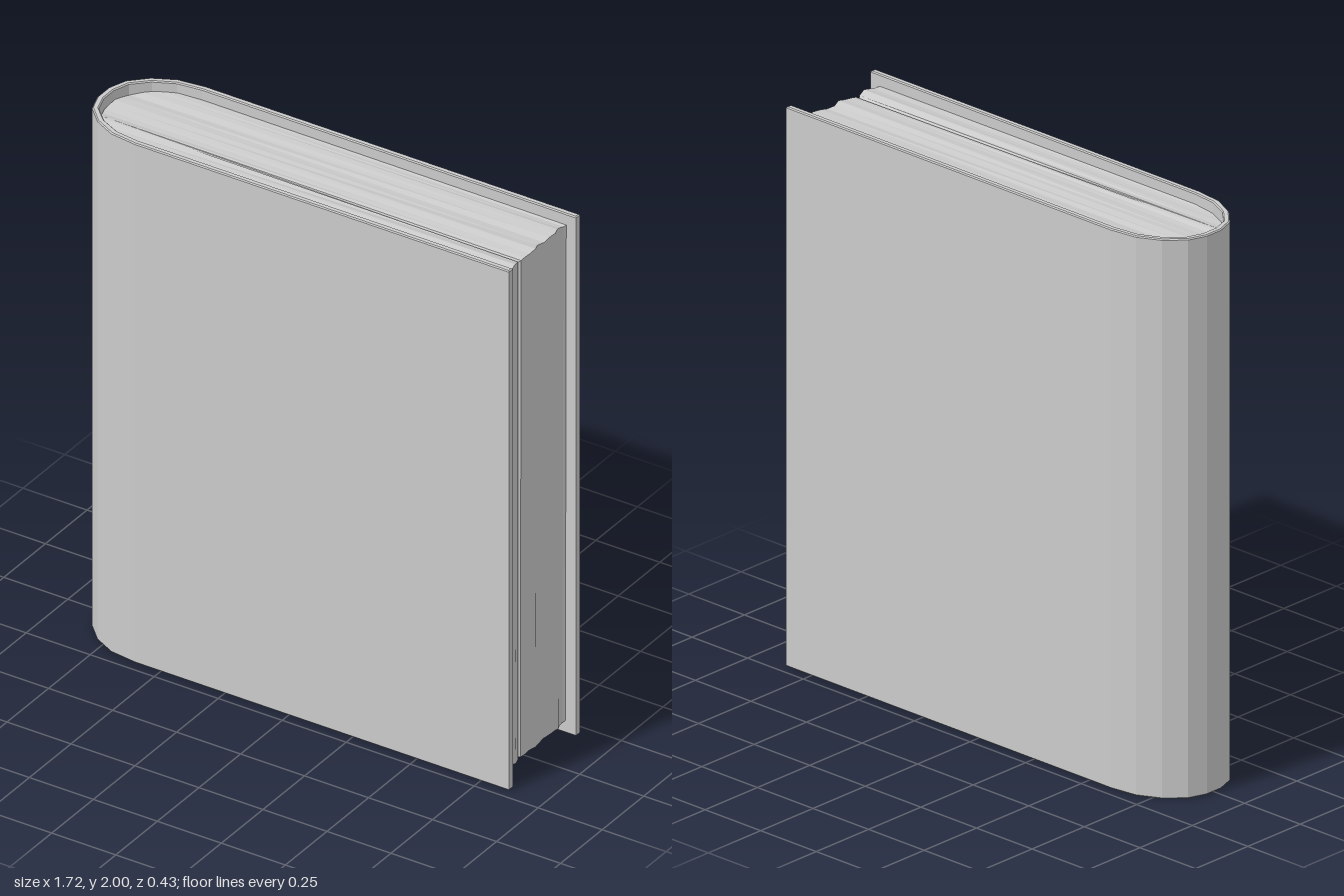
import * as THREE from 'three';

const material = () => new THREE.MeshStandardMaterial({ color: 0xcccccc, flatShading: true });

// Half of the spine curve [x, z], from the board towards the middle of the spine
const outer = [[-0.6, 0.213], [-0.7, 0.2], [-0.78, 0.16], [-0.84, 0.1], [-0.863, 0.034]];
const inner = [[-0.6, 0.19], [-0.69, 0.179], [-0.765, 0.143], [-0.82, 0.09], [-0.84, 0.03]];
const mirrored = (half) => [...half, ...half.map(([x, z]) => [x, -z]).reverse()];

// Boards and rounded spine as one U-shaped shell
function makeCover() {
  const bevel = 0.004, front = 0.862;
  const points = [
    [front, 0.213], ...mirrored(outer), [front, -0.213],
    [front, -0.19], ...mirrored(inner).reverse(), [front, 0.19],
  ].map(([x, z]) => new THREE.Vector2(x, z));
  const geometry = new THREE.ExtrudeGeometry(new THREE.Shape(points), {
    depth: 2 - 2 * bevel, bevelEnabled: true, bevelSegments: 1,
    bevelSize: bevel, bevelThickness: bevel, bevelOffset: -bevel,
  });
  geometry.rotateX(-Math.PI / 2).translate(0, bevel, 0);
  const cover = new THREE.Mesh(geometry, material());
  cover.name = 'cover';
  return cover;
}

// x of the inside of the spine at a given z
function spineX(z) {
  const d = Math.abs(z);
  for (let i = 0; i < inner.length - 1; i++) {
    const [x0, z0] = inner[i], [x1, z1] = inner[i + 1];
    if (d >= z1) return x0 + (x1 - x0) * (z0 - d) / (z0 - z1);
  }
  return -0.84;
}

// Paper block: one rectangular section per z, with uneven edges
function makePages() {
  const layers = [-0.19, -0.179, -0.16, -0.143, -0.12, -0.09, -0.06, -0.03, 0, 0.03,
    0.055, 0.075, 0.08, 0.09, 0.12, 0.143, 0.16, 0.179, 0.19];
  const positions = [], index = [];
  layers.forEach((z, i) => {
    const wave = (phase, size) => size * (Math.sin(z * 52 + phase) + 0.5 * Math.sin(z * 97 + phase * 2));
    const groove = z === 0.08 ? 0.008 : 0;
    const back = spineX(z) + 0.003;
    const foreTop = 0.822 + wave(0.6, 0.005) - groove;
    const foreBottom = 0.822 + wave(1.1, 0.005) - groove;
    positions.push(
      back, 0.045 + wave(2.0, 0.003), z,
      foreBottom, 0.045 + wave(0.4, 0.004), z,
      foreTop, 1.96 + wave(1.4, 0.004) - groove, z,
      back, 1.96 + wave(3.1, 0.003), z,
    );
    if (i === layers.length - 1) return;
    for (let k = 0; k < 4; k++) {
      const a = i * 4 + k, b = i * 4 + (k + 1) % 4;
      index.push(a, b, b + 4, a, b + 4, a + 4);
    }
  });
  const last = (layers.length - 1) * 4;
  index.push(0, 2, 1, 0, 3, 2, last, last + 1, last + 2, last, last + 2, last + 3);
  const geometry = new THREE.BufferGeometry();
  geometry.setAttribute('position', new THREE.Float32BufferAttribute(positions, 3));
  geometry.setIndex(index);
  geometry.computeVertexNormals();
  const pages = new THREE.Mesh(geometry, material());
  pages.name = 'pages';
  return pages;
}

export function createModel() {
  const book = new THREE.Group();
  book.name = 'book';
  book.add(makeCover(), makePages());
  return book;
}
